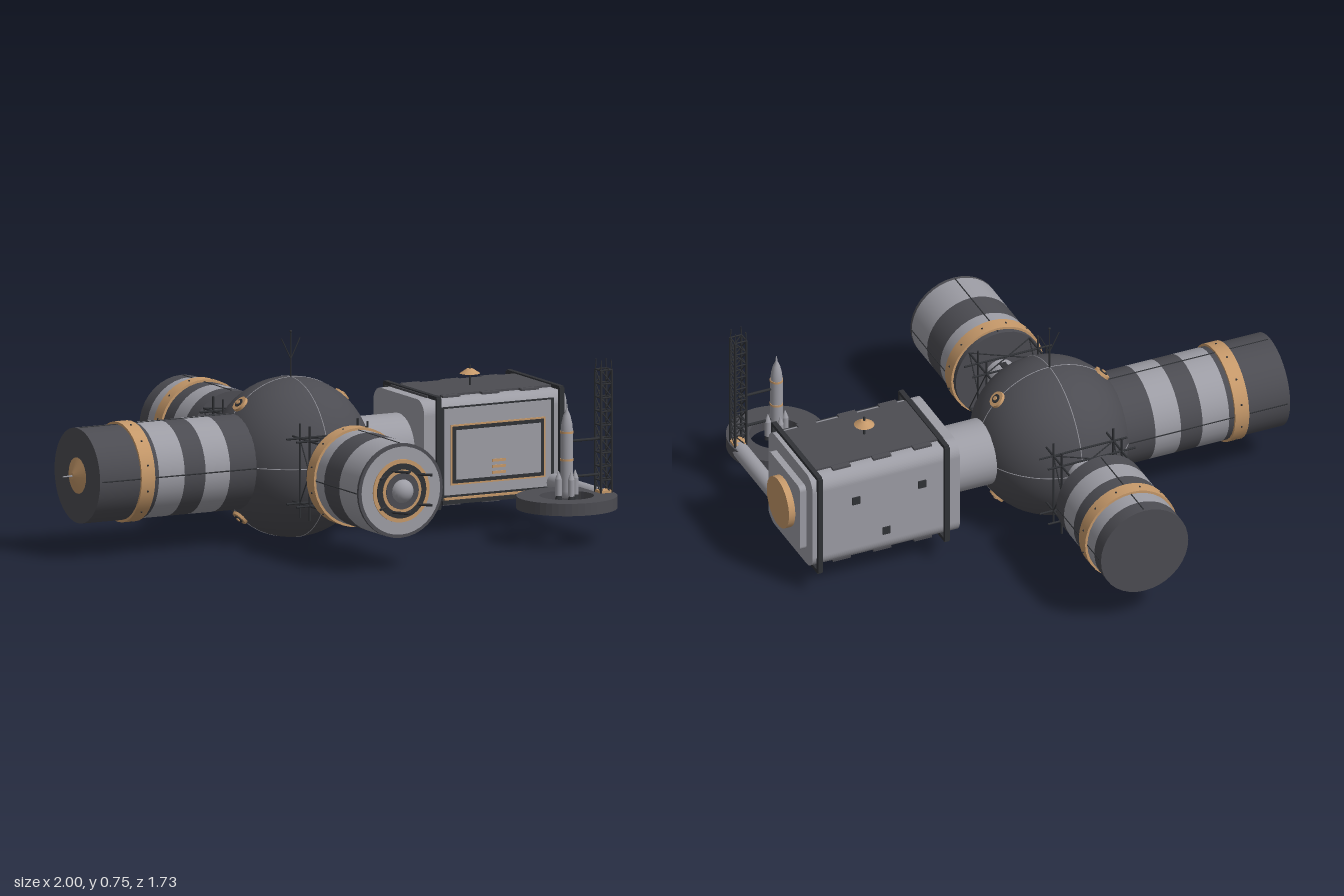
import * as THREE from 'three';

const mat = (name, color) => {
  const m = new THREE.MeshStandardMaterial({ color });
  m.name = name;
  return m;
};

export function createModel() {
  const root = new THREE.Group();
  root.name = 'spaceStation';
  const dark = mat('charcoal', 0x4c4c52), light = mat('lightGrey', 0x9d9da5);
  const tan = mat('copper', 0xc6996a), black = mat('nearBlack', 0x303236);
  const C = new THREE.Vector3(-0.07, 0.295, -0.036); // hub centre
  const V = (x, y, z) => new THREE.Vector3(x, y, z);
  const UP = V(0, 1, 0);

  const add = (name, geo, m, x = 0, y = 0, z = 0, parent = root) => {
    const mesh = new THREE.Mesh(geo, m);
    mesh.name = name;
    mesh.position.set(x, y, z);
    parent.add(mesh);
    return mesh;
  };
  const box = (name, m, x, y, z, w, h, d, parent = root) =>
    add(name, new THREE.BoxGeometry(w, h, d), m, x, y, z, parent);
  // Cylinder or cone running between two points
  const rod = (name, m, a, b, r0, r1 = r0, sides = 6, parent = root) => {
    const d = b.clone().sub(a);
    const p = a.clone().add(b).multiplyScalar(0.5);
    const mesh = add(name, new THREE.CylinderGeometry(r1, r0, d.length(), sides), m, p.x, p.y, p.z, parent);
    mesh.quaternion.setFromUnitVectors(UP, d.normalize());
    return mesh;
  };

  // Hub sphere with meridian and equator seams
  add('hubSphere', new THREE.SphereGeometry(0.29, 40, 28), dark, C.x, C.y, C.z);
  const seams = [[0, 0, 0], [0, Math.PI / 2, 0], [Math.PI / 2, 0, 0]];
  for (const r of seams)
    add('hubSeam', new THREE.TorusGeometry(0.2895, 0.0018, 5, 72), light, C.x, C.y, C.z).rotation.set(...r);

  // Portholes on the diagonals
  for (const sx of [-1, 1]) for (const sy of [-1, 1]) {
    const d = V(sx, sy, 0).normalize();
    const at = k => C.clone().addScaledVector(d, k);
    rod('portholeRim', tan, at(0.27), at(0.298), 0.034, 0.03, 20);
    rod('portholeGlass', black, at(0.298), at(0.301), 0.017, 0.017, 16);
    rod('portholeKnob', tan, at(0.301), at(0.305), 0.008, 0.008, 10);
  }

  // Hub antenna
  rod('antennaMast', black, V(C.x, 0.58, C.z), V(C.x, 0.752, C.z), 0.0035, 0.002);
  add('antennaTip', new THREE.SphereGeometry(0.005, 8, 6), black, C.x, 0.75, C.z);
  for (const s of [-1, 1])
    rod('antennaWhisker', black, V(C.x, 0.65, C.z), V(C.x + s * 0.038, 0.725, C.z), 0.002);

  // Banded module, built along its own +y from the hub centre outwards
  const armModule = (name, bands, ring, radius, rotX, rotZ) => {
    const g = new THREE.Group();
    g.name = name;
    g.position.copy(C);
    g.rotation.set(rotX, 0, rotZ);
    root.add(g);
    for (const [a, b, m] of bands) {
      rod('hullBand', m, V(0, a, 0), V(0, b, 0), radius, radius, 36, g);
    }
    rod('clampRing', tan, V(0, ring[0], 0), V(0, ring[1], 0), radius + 0.009, radius + 0.009, 36, g);
    const start = bands[0][0], end = bands[bands.length - 1][1];
    for (let i = 0; i < 4; i++) {
      const a = i * Math.PI / 2, c = Math.cos(a), s = Math.sin(a);
      rod('hullSeam', black, V(c * radius, start + 0.01, s * radius), V(c * radius, end - 0.01, s * radius), 0.0025, 0.0025, 5, g);
    }
    for (let i = 0; i < 12; i++) {
      const a = (i + 0.5) * Math.PI / 6, r = radius + 0.009, y = (ring[0] + ring[1]) / 2;
      add('ringBolt', new THREE.SphereGeometry(0.004, 6, 4), black, Math.cos(a) * r, y, Math.sin(a) * r, g);
    }
    return g;
  };

  // Open truss around a narrow neck
  const truss = (g, a, b) => {
    rod('neck', light, V(0, 0.24, 0), V(0, b + 0.01, 0), 0.058, 0.058, 24, g);
    box('neckHatch', black, 0, (a + b) / 2 + 0.03, 0, 0.025, 0.04, 0.12, g);
    const q = 0.118, e = 0.172;
    for (const s of [-1, 1]) {
      for (const t of [-1, 1])
        rod('trussRail', black, V(s * q, 0.22, t * q), V(s * q, b, t * q), 0.004, 0.004, 6, g);
      for (const y of [a, (a + b) / 2]) {
        rod('trussBar', black, V(-e, y, s * q), V(e, y, s * q), 0.004, 0.004, 6, g);
        rod('trussBar', black, V(s * q, y, -e), V(s * q, y, e), 0.004, 0.004, 6, g);
      }
      for (const t of [-1, 1]) {
        rod('trussBrace', black, V(-t * q, a, s * q), V(t * q, b, s * q), 0.0025, 0.0025, 5, g);
        rod('trussBrace', black, V(s * q, a, -t * q), V(s * q, b, t * q), 0.0025, 0.0025, 5, g);
      }
    }
  };

  // Long module on the right-hand side with its cone cap
  const long = armModule('longModule', [[0.18, 0.34, dark], [0.34, 0.44, light], [0.44, 0.525, dark],
    [0.525, 0.63, light], [0.63, 0.87, dark]], [0.65, 0.705], 0.173, 0, Math.PI / 2);
  rod('endCone', tan, V(0, 0.87, 0), V(0, 0.892, 0), 0.066, 0.012, 24, long);
  rod('endProbe', light, V(0, 0.885, 0), V(0, 0.93, 0), 0.004, 0.002, 6, long);

  // Rear module
  const rear = armModule('rearModule', [[0.44, 0.505, dark], [0.505, 0.59, light], [0.59, 0.655, dark],
    [0.655, 0.77, light], [0.77, 0.828, dark]], [0.655, 0.71], 0.172, -Math.PI / 2, 0);
  truss(rear, 0.295, 0.44);

  // Front module with its docking face
  const front = armModule('frontModule', [[0.436, 0.46, dark], [0.46, 0.571, light], [0.571, 0.686, dark],
    [0.686, 0.82, light], [0.82, 0.832, dark]], [0.456, 0.511], 0.172, Math.PI / 2, 0);
  truss(front, 0.288, 0.436);
  for (const [r, h, m] of [[0.16, 0.834, light], [0.115, 0.838, tan], [0.1, 0.841, black],
    [0.078, 0.844, tan], [0.066, 0.847, dark]])
    rod('dockingRing', m, V(0, 0.83, 0), V(0, h, 0), r, r, 36, front);
  add('dockingDome', new THREE.SphereGeometry(0.045, 20, 14), light, 0, 0.835, 0, front);
  for (const s of [-1, 1]) for (const t of [-1, 1]) {
    rod('dockingProng', black, V(s * 0.06, 0.83, t * 0.055), V(s * 0.105, 0.876, t * 0.055), 0.005, 0.005, 6, front);
    rod('dockingProng', black, V(s * 0.04, 0.835, t * 0.075), V(0, 0.895, t * 0.075), 0.005, 0.005, 6, front);
  }

  // Connector to the cargo block
  rod('connectorTube', light, V(0.1, C.y, C.z), V(0.39, C.y, C.z), 0.122, 0.122, 32);

  // Cargo block: rounded square extruded along x
  const slab = (name, m, x0, x1, h, r) => {
    const s = new THREE.Shape(), k = h - r;
    s.absarc(k, k, r, 0, Math.PI / 2);
    s.absarc(-k, k, r, Math.PI / 2, Math.PI);
    s.absarc(-k, -k, r, Math.PI, Math.PI * 1.5);
    s.absarc(k, -k, r, Math.PI * 1.5, Math.PI * 2);
    const geo = new THREE.ExtrudeGeometry(s, { depth: x1 - x0, bevelEnabled: false, curveSegments: 8 });
    geo.rotateY(Math.PI / 2);
    return add(name, geo, m, x0, C.y, C.z);
  };
  slab('cargoBlock', light, 0.37, 0.95, 0.193, 0.055);
  slab('cargoEndStep', light, 0.95, 0.975, 0.137, 0.02);
  rod('cargoEndDisc', tan, V(0.97, C.y, C.z), V(1, C.y, C.z), 0.097, 0.097, 32);
  for (const s of [-1, 1]) {
    box('roofAndBellyPlate', dark, 0.663, C.y + s * 0.195, C.z, 0.505, 0.012, 0.275);
    for (const x of [0.5, 0.66, 0.82]) for (const t of [-1, 1])
      box('plateTab', dark, x, C.y + s * 0.196, C.z + t * 0.145, 0.07, 0.008, 0.03);
  }

  // Frame hoops around the block
  for (const x of [0.425, 0.925]) for (const s of [-1, 1]) {
    box('hoopPost', black, x, C.y, C.z + s * 0.199, 0.018, 0.4, 0.014);
    box('hoopBeam', black, x, C.y + s * 0.199, C.z, 0.018, 0.014, 0.4);
  }

  // Front bay: stacked thin panels and a bottom rail
  const fz = C.z + 0.195;
  box('bayBorder', black, 0.665, C.y - 0.005, fz, 0.46, 0.34, 0.008);
  box('bayPanel', light, 0.665, C.y + 0.002, fz + 0.003, 0.435, 0.315, 0.008);
  box('bayTrim', tan, 0.665, C.y - 0.01, fz + 0.006, 0.385, 0.22, 0.008);
  box('bayShadowLine', black, 0.665, C.y - 0.01, fz + 0.008, 0.372, 0.207, 0.008);
  box('bayWindow', light, 0.665, C.y - 0.01, fz + 0.01, 0.345, 0.18, 0.008);
  for (let i = 0; i < 3; i++)
    box('bayStep', tan, 0.665, 0.21 + i * 0.022, fz + 0.013, 0.055, 0.01, 0.008);
  box('bottomRail', black, 0.67, 0.115, fz + 0.008, 0.47, 0.014, 0.02);
  box('bottomTrim', tan, 0.67, 0.127, fz + 0.006, 0.45, 0.008, 0.016);

  // Rear wall hatches
  for (const [x, y] of [[0.52, 0.36], [0.78, 0.36], [0.66, 0.2]])
    box('rearHatch', black, x, y, C.z - 0.194, 0.03, 0.03, 0.008);

  // Roof dish
  rod('dishStem', black, V(0.66, 0.49, C.z), V(0.66, 0.57, C.z), 0.004);
  rod('dish', tan, V(0.66, 0.538, C.z), V(0.66, 0.555, C.z), 0.037, 0.012, 20);

  // Boom and launch ring
  const px = 0.745, pz = 0.54, tx = 0.895;
  rod('boom', light, V(tx, 0.153, 0.12), V(tx, 0.153, 0.53), 0.031, 0.031, 20);
  const annulus = new THREE.Shape().absarc(0, 0, 0.182, 0, Math.PI * 2);
  annulus.holes.push(new THREE.Path().absarc(0, 0, 0.098, 0, Math.PI * 2, true));
  const ringGeo = new THREE.ExtrudeGeometry(annulus, { depth: 0.045, bevelEnabled: false, curveSegments: 24 });
  add('launchRing', ringGeo.rotateX(-Math.PI / 2), dark, px, 0.128, pz);

  // Lattice tower
  const h = 0.022, corners = [[-h, -h], [h, -h], [h, h], [-h, h]];
  box('towerBase', tan, tx, 0.177, pz, 0.05, 0.01, 0.05);
  corners.forEach(([x, z], i) => {
    const [u, w] = corners[(i + 1) % 4];
    rod('towerLeg', black, V(tx + x, 0.17, pz + z), V(tx + x, 0.62, pz + z), 0.0045);
    rod('towerSpike', black, V(tx + x, 0.61, pz + z), V(tx + x * 0.9, 0.657, pz + z * 0.9), 0.002);
    for (let k = 0; k < 9; k++) {
      const y = 0.17 + k * 0.05;
      rod('towerBrace', black, V(tx + x, y, pz + z), V(tx + u, y + 0.05, pz + w), 0.0025, 0.0025, 5);
      rod('towerBar', black, V(tx + x, y + 0.05, pz + z), V(tx + u, y + 0.05, pz + w), 0.003, 0.003, 5);
    }
  });
  for (const y of [0.24, 0.37])
    rod('serviceArm', black, V(tx, y, pz), V(px + 0.02, y, pz), 0.005);

  // Rocket with four side boosters
  const profile = [[0, 0.165], [0.018, 0.165], [0.023, 0.19], [0.023, 0.4], [0.02, 0.435], [0.013, 0.465], [0.004, 0.485], [0.002, 0.505], [0, 0.505]];
  add('rocketBody', new THREE.LatheGeometry(profile.map(p => new THREE.Vector2(...p)), 20), light, px, 0, pz);
  for (const y of [0.3, 0.4])
    rod('rocketBand', tan, V(px, y, pz), V(px, y + 0.008, pz), 0.0245, 0.0245, 20);
  for (let i = 0; i < 4; i++) {
    const x = px + Math.cos(i * Math.PI / 2) * 0.034, z = pz + Math.sin(i * Math.PI / 2) * 0.034;
    rod('booster', light, V(x, 0.175, z), V(x, 0.235, z), 0.012, 0.012, 12);
    rod('boosterNose', light, V(x, 0.235, z), V(x, 0.265, z), 0.012, 0.001, 12);
    rod('boosterNozzle', black, V(x, 0.16, z), V(x, 0.175, z), 0.013, 0.008, 12);
  }
  return root;
}
